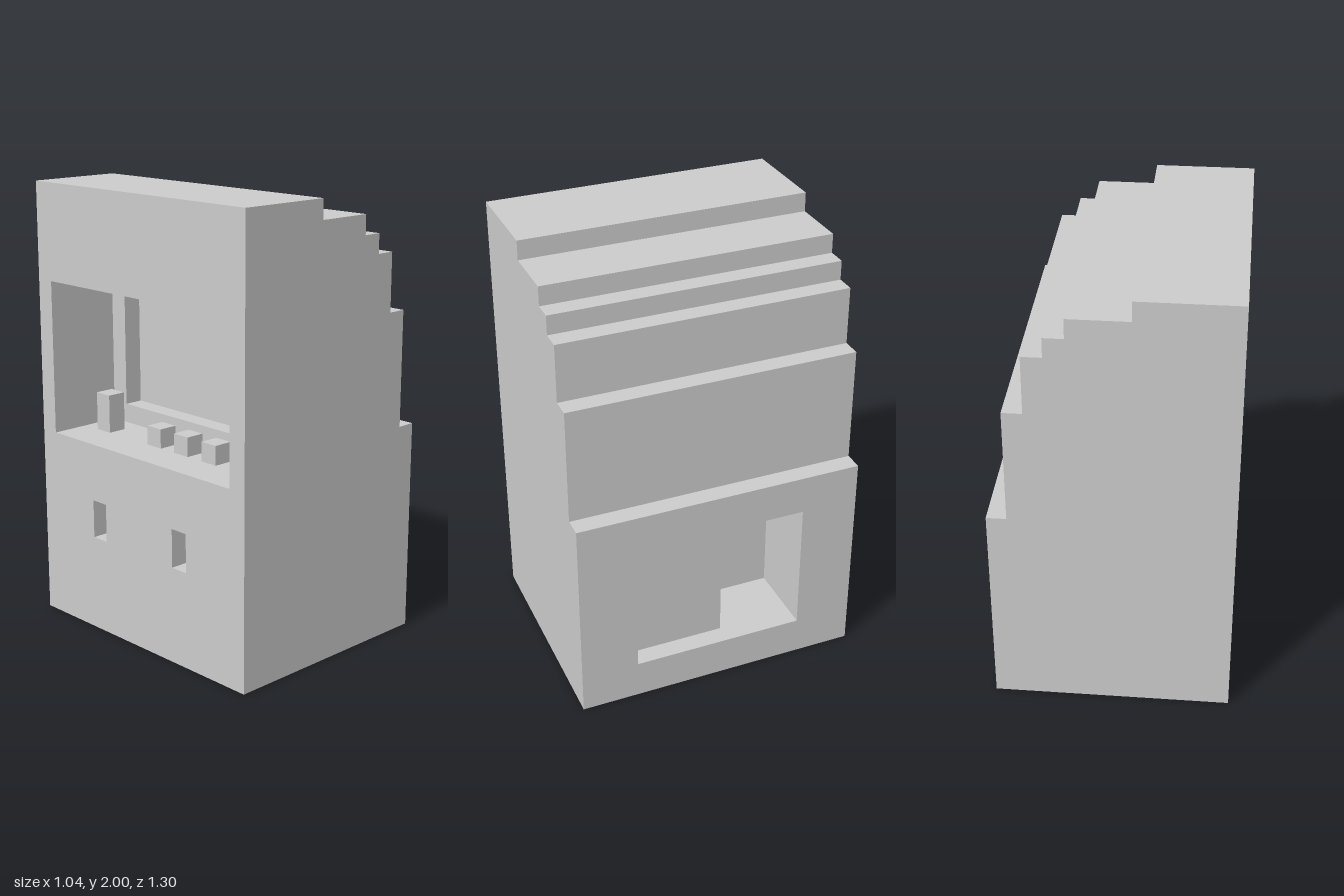
import * as THREE from 'three';

const U = 2 / 23; // grid unit: the cabinet is 12 wide, 23 high and 15 deep
const material = new THREE.MeshStandardMaterial({ color: 0xcccccc, flatShading: true });

// Openings as [z0, y0, z1, y1], with z counted from the back
const controlBay = [1, 10, 14, 18];
const slots = [[4, 5, 5, 7], [10, 5, 11, 7]];
const screenRecess = [2, 11, 13, 17];
const hatch = [3, 2, 12, 9];
const hatchBesideDoor = [3, 2, 7, 9];

function rectangle(path, [z0, y0, z1, y1]) {
  path.moveTo(z0, y0);
  path.lineTo(z1, y0);
  path.lineTo(z1, y1);
  path.lineTo(z0, y1);
  path.closePath();
  return path;
}

// Upright slice of the cabinet from x0 to x1, pierced by openings
function slice(name, x0, x1, height, openings = []) {
  const shape = rectangle(new THREE.Shape(), [0, 0, 15, height]);
  openings.forEach((o) => shape.holes.push(rectangle(new THREE.Path(), o)));
  const geometry = new THREE.ExtrudeGeometry(shape, { depth: x1 - x0, bevelEnabled: false });
  geometry.rotateY(-Math.PI / 2);
  geometry.translate(x1 - 6, 0, -7.5);
  geometry.scale(U, U, U);
  const mesh = new THREE.Mesh(geometry, material);
  mesh.name = name;
  return mesh;
}

function block(name, x, y, z, height) {
  const mesh = new THREE.Mesh(new THREE.BoxGeometry(U, height * U, U), material);
  mesh.position.set((x + 0.5 - 6) * U, (y + height / 2) * U, (z + 0.5 - 7.5) * U);
  mesh.name = name;
  return mesh;
}

export function createModel() {
  const model = new THREE.Group();
  model.name = 'cabinet';

  // Stepped body, from the control side to the hatch side
  model.add(
    slice('controlPanelWall', 0, 1, 23, [controlBay, ...slots]),
    slice('controlBaySurround', 1, 4, 23, [controlBay]),
    slice('screenFrame', 4, 5, 23, [screenRecess]),
    slice('core', 5, 8, 22),
    slice('upperStep', 8, 9, 21, [hatch]),
    slice('middleStep', 9, 10, 20, [hatch]),
    slice('doorStep', 10, 11, 17, [hatchBesideDoor]),
    slice('hatchWall', 11, 12, 11, [hatch]),
    // Closed bottom of the coin slots
    slice('slotBacking', 1, 4, 10)
  );

  // Controls on the shelf
  for (let i = 0; i < 4; i++) model.add(block('button' + (i + 1), 2, 10, 6 + 2 * i, 1));
  model.add(block('controlStick', 2, 10, 2, 2));

  return model;
}
